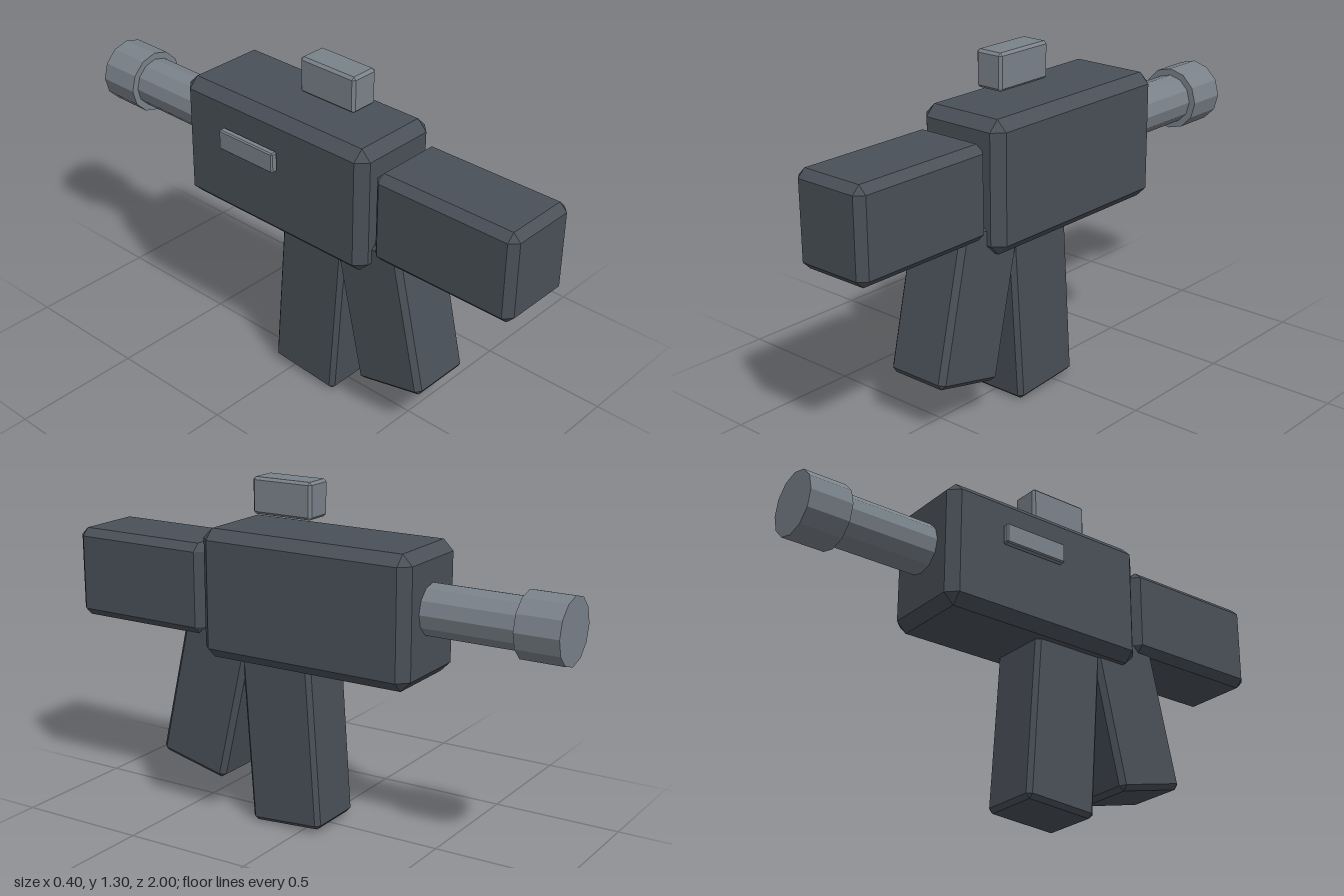
import * as THREE from 'three';
import { ConvexGeometry } from 'three/addons/geometries/ConvexGeometry.js';

const CX = 0.015; // centre line of the main parts

const dark = new THREE.MeshStandardMaterial({ color: 0x4a5058, flatShading: true });
const light = new THREE.MeshStandardMaterial({ color: 0x7a828a, flatShading: true });

// Box with every edge cut by a flat chamfer c
function chamferBox(w, h, d, c) {
  const points = [];
  for (const x of [-1, 1]) for (const y of [-1, 1]) for (const z of [-1, 1]) {
    for (let full = 0; full < 3; full++) {
      const half = [w, h, d].map((s, i) => s / 2 - (i === full ? 0 : c));
      points.push(new THREE.Vector3(x * half[0], y * half[1], z * half[2]));
    }
  }
  return new ConvexGeometry(points);
}

export function createModel() {
  const group = new THREE.Group();

  function add(name, geometry, material, x, y, z, tilt = 0) {
    const mesh = new THREE.Mesh(geometry, material);
    mesh.name = name;
    mesh.position.set(x, y, z);
    mesh.rotation.x = tilt;
    group.add(mesh);
  }

  // Twelve-sided tube lying along z between z0 and z1
  function addTube(name, radius, z0, z1) {
    const geometry = new THREE.CylinderGeometry(radius, radius, z1 - z0, 12);
    add(name, geometry, light, CX, 0.9, (z0 + z1) / 2, Math.PI / 2);
  }

  // Body and stock
  add('receiver', chamferBox(0.37, 0.485, 0.87, 0.039), dark, CX, 0.875, -0.037);
  add('stock', chamferBox(0.308, 0.345, 0.588, 0.029), dark, CX, 0.875, 0.706);

  // Raked grip and magazine
  add('grip', chamferBox(0.256, 0.58, 0.297, 0.019), dark, CX, 0.453, 0.426, -0.23);
  add('magazine', chamferBox(0.243, 0.7, 0.298, 0.016), dark, CX, 0.361, 0.09, 0.07);

  // Barrel and wider muzzle
  addTube('barrel', 0.096, -0.84, -0.4);
  addTube('muzzle', 0.122, -1, -0.835);

  // Sight floating over the body, and the port plate on the right side
  add('sight', chamferBox(0.114, 0.136, 0.25, 0.01), light, CX, 1.235, 0.117);
  add('ejectionPort', chamferBox(0.028, 0.078, 0.264, 0.005), light, -0.19, 0.951, -0.122);

  return group;
}
